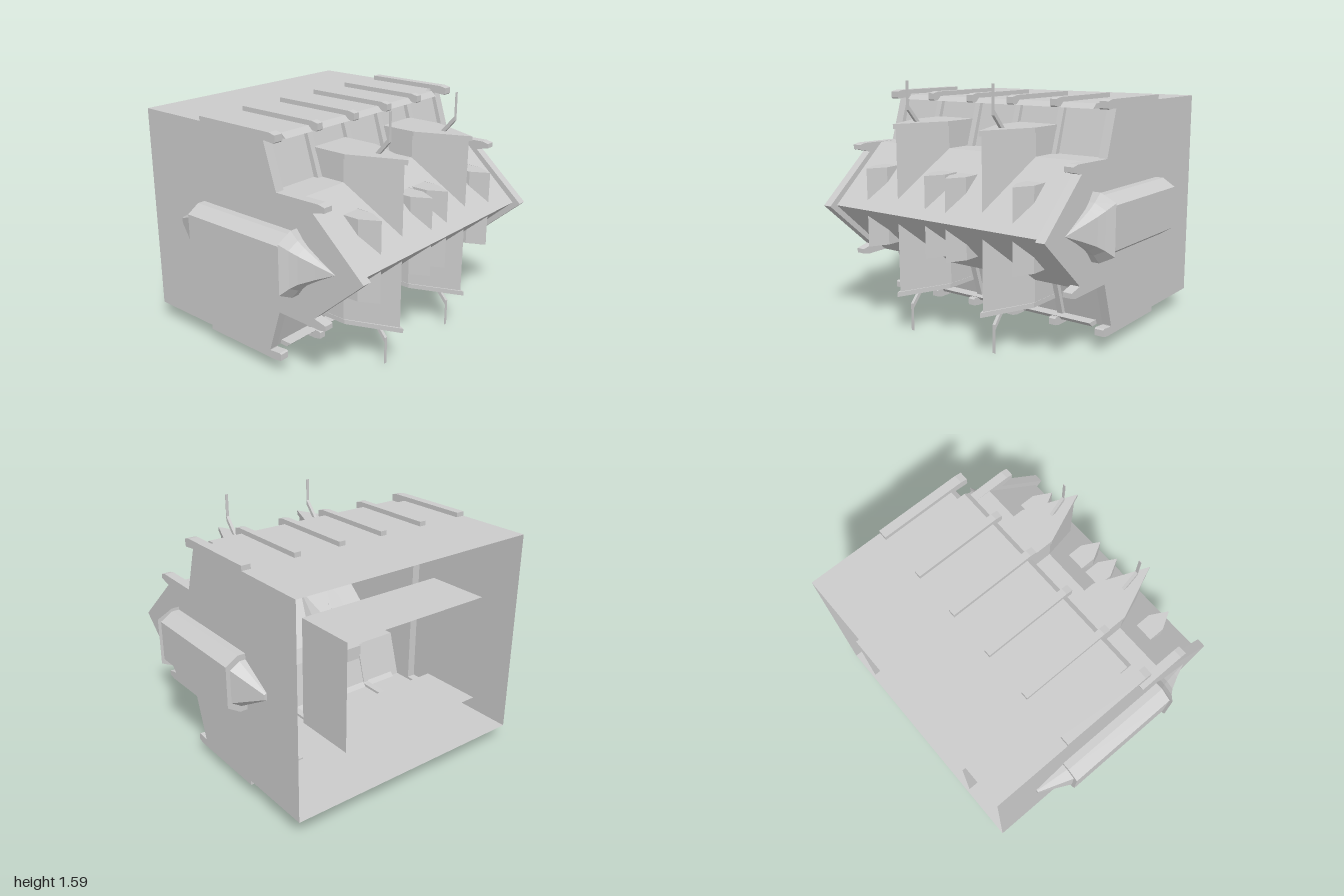
import * as THREE from 'three';

const material = new THREE.MeshStandardMaterial({ color: 0xcccccc, flatShading: true, side: THREE.DoubleSide });
const MID = 0.795; // height of the long axis; everything below is built around it

function add(group, name, geometry) {
  const mesh = new THREE.Mesh(geometry, material);
  mesh.name = name;
  group.add(mesh);
  return mesh;
}

const shapeOf = (pts) => new THREE.Shape(pts.map(([a, b]) => new THREE.Vector2(a, b)));

// Solid from a [z, y] outline, running from x0 to x1
function prismX(pts, x0, x1) {
  return new THREE.ExtrudeGeometry(shapeOf(pts), { depth: x1 - x0, bevelEnabled: false })
    .rotateY(-Math.PI / 2).translate(x1, 0, 0);
}

// Solid from an [x, z] outline, running from y0 to y1
function prismY(pts, y0, y1) {
  return new THREE.ExtrudeGeometry(shapeOf(pts), { depth: y1 - y0, bevelEnabled: false })
    .rotateX(Math.PI / 2).translate(0, y1, 0);
}

// Sheet following a [z, y] polyline across the width
function sheet(pts, halfWidth) {
  const geo = new THREE.PlaneGeometry(2 * halfWidth, 1, 1, pts.length - 1);
  const pos = geo.attributes.position;
  pts.forEach(([z, y], i) => {
    pos.setXYZ(2 * i, -halfWidth, y, z);
    pos.setXYZ(2 * i + 1, halfWidth, y, z);
  });
  geo.computeVertexNormals();
  return geo;
}

// Skin over an [x, y] section, scaled at each [z, scale] station
function loft(section, stations) {
  const n = section.length;
  const geo = new THREE.PlaneGeometry(1, 1, n - 1, stations.length - 1);
  stations.forEach(([z, s], j) => section.forEach(([x, y], i) =>
    geo.attributes.position.setXYZ(j * n + i, x * s, y * s, z)));
  geo.computeVertexNormals();
  return geo;
}

// Pointed housing whose underside follows the sloping front
function housing(x, half, back, shoulder, tip, top) {
  const geo = prismY([[x - half, back], [x + half, back], [x + half, shoulder], [x, tip], [x - half, shoulder]], 0, top);
  const pos = geo.attributes.position;
  for (let i = 0; i < pos.count; i++) {
    if (pos.getY(i) < 0.01) pos.setY(i, Math.min(0.37, (0.82 - pos.getZ(i)) * 0.37 / 0.41));
  }
  geo.computeVertexNormals();
  return geo;
}

function makeNacelle() {
  const g = new THREE.Group();
  g.name = 'sideNacelle';
  const body = [[0, 0.185], [0.05, 0.185], [0.13, 0.135], [0.13, -0.125], [0.05, -0.175], [0, -0.175]];
  const flare = [[0, 0.205], [0.05, 0.205], [0.15, 0.155], [0.15, -0.15], [0.05, -0.2], [0, -0.2]];
  add(g, 'nacelleBody', loft(body, [[-0.38, 0], [-0.38, 1], [0.4, 1]]));
  add(g, 'nacelleNose', loft(flare, [[0.4, 0], [0.4, 1], [0.44, 0.74], [0.48, 0.56], [0.57, 0.29], [0.68, 0]]));
  add(g, 'nacelleTail', loft(body, [[-0.38, 0.8], [-0.59, 0.12], [-0.59, 0]]));
  g.position.x = 0.85;
  return g;
}

// Upper deck plus one flank; a half turn about z gives the rest
function makeHalf() {
  const g = new THREE.Group();

  // Hull skin
  add(g, 'deck', sheet([[-0.88, 0.675], [0.12, 0.675]], 0.85));
  add(g, 'frontSlope', sheet([[0.12, 0.675], [0.21, 0.37], [0.41, 0.37], [0.82, 0]], 0.79));
  add(g, 'frontLip', prismX([[0.1, 0.675], [0.175, 0.675], [0.21, 0.645], [0.13, 0.645]], -0.73, 0.73));
  add(g, 'sideWall', new THREE.PlaneGeometry(0.88, 1.35).rotateY(Math.PI / 2).translate(0.85, 0, -0.44));

  // Thick stepped cheek at the front of the flank
  const upper = [[0, 0.675], [0.155, 0.675], [0.155, 0.65], [0.245, 0.37], [0.56, 0.375],
    [0.605, 0.365], [0.605, 0.335], [0.52, 0.315]];
  const lower = upper.map(([z, y]) => [z, -y]).reverse();
  add(g, 'cheekPlate', prismX([...upper, [0.875, 0], ...lower], 0.79, 0.85));

  // Deck rails, with ribs running down the recessed wall
  const railProfile = [[-0.38, 0.665], [-0.38, 0.705], [0.2, 0.705], [0.245, 0.695], [0.245, 0.655], [0.235, 0.647], [0.15, 0.655]];
  for (const x of [-0.82, 0.82]) add(g, 'edgeRail', prismX(railProfile, x - 0.03, x + 0.03));
  for (const x of [-0.485, -0.16, 0.16, 0.48]) {
    add(g, 'deckRail', prismX(railProfile, x - 0.023, x + 0.023));
    add(g, 'wallRib', prismX([[0.12, 0.65], [0.155, 0.65], [0.245, 0.37], [0.2, 0.37]], x - 0.02, x + 0.02));
  }

  // Large pointed turrets with cap and antenna
  for (const x of [-0.33, 0.33]) {
    add(g, 'turret', housing(x, 0.14, 0.18, 0.41, 0.735, 0.525));
    add(g, 'turretCap', prismY([[x - 0.142, 0.18], [x + 0.142, 0.18], [x + 0.142, 0.42], [x, 0.76], [x - 0.142, 0.42]], 0.51, 0.54));
    add(g, 'antennaArm', prismX([[0.535, 0.54], [0.565, 0.54], [0.632, 0.617], [0.632, 0.651]], x - 0.01, x + 0.01));
    add(g, 'antennaBlade', new THREE.BoxGeometry(0.02, 0.175, 0.004).translate(x, 0.7075, 0.63));
  }

  // Small pointed turrets on the sloping front
  for (const x of [-0.565, -0.08, 0.08, 0.565]) {
    add(g, 'smallTurret', housing(x, 0.063, 0.54, 0.65, 0.765, 0.25));
  }

  g.add(makeNacelle());
  return g;
}

export function createModel() {
  const model = new THREE.Group();
  model.name = 'craft';

  const upperHalf = makeHalf();
  upperHalf.name = 'upperHalf';
  const lowerHalf = makeHalf();
  lowerHalf.name = 'lowerHalf';
  lowerHalf.rotation.z = Math.PI;

  // Open rectangular duct inside the rear opening
  const duct = [[-0.52, 0.345], [0.52, 0.345], [0.52, -0.345], [-0.52, -0.345], [-0.52, 0.345]];
  const core = new THREE.Group();
  core.name = 'hull';
  add(core, 'rearDuct', loft(duct, [[-0.88, 1], [-0.47, 1]]));
  core.add(upperHalf, lowerHalf);
  core.position.y = MID;
  model.add(core);
  return model;
}
